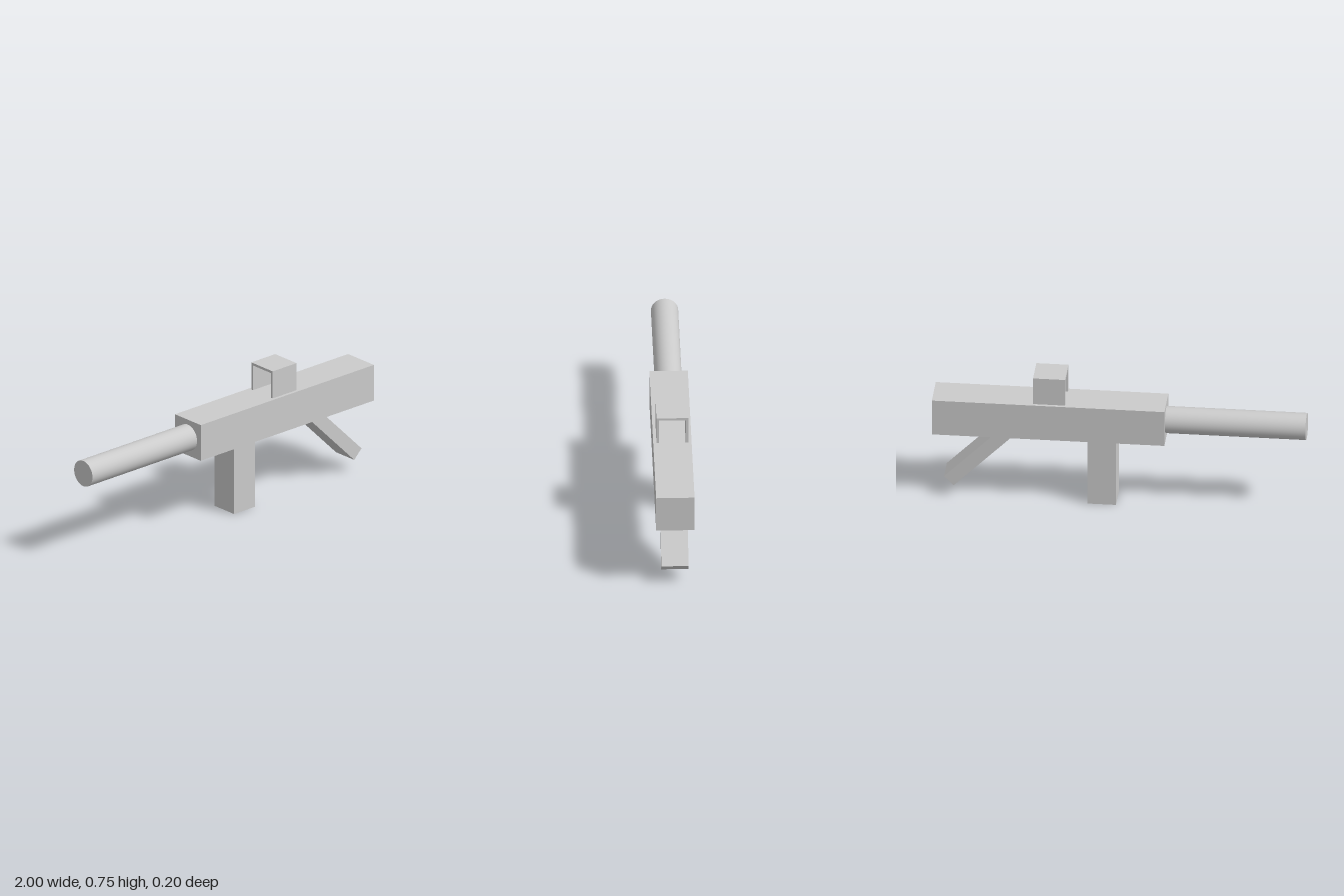
import * as THREE from 'three';

export function createModel() {
  const group = new THREE.Group();
  const material = new THREE.MeshStandardMaterial({ color: 0xcccccc });

  function add(name, geometry, x, y, z, parent = group) {
    const mesh = new THREE.Mesh(geometry, material);
    mesh.name = name;
    mesh.position.set(x, y, z);
    parent.add(mesh);
    return mesh;
  }

  // Main body
  add('body', new THREE.BoxGeometry(1.247, 0.206, 0.205), 0.3765, 0.491, 0);

  // Barrel along -x, ending at the front face of the body
  const barrel = add('barrel', new THREE.CylinderGeometry(0.073, 0.073, 0.77, 32), -0.615, 0.493, 0);
  barrel.rotation.z = Math.PI / 2;

  // Straight magazine under the body
  add('magazine', new THREE.BoxGeometry(0.152, 0.4, 0.156), 0.091, 0.2, 0);

  // Slanted grip, its upper end sunk into the body
  const length = 0.5, tilt = Math.PI / 4;
  const grip = add('grip', new THREE.BoxGeometry(0.074, length, 0.145),
    0.912 - Math.sin(tilt) * length / 2, 0.094 + Math.cos(tilt) * length / 2, 0);
  grip.rotation.z = tilt;

  // Sight: one arch-shaped section, open along x
  const arch = new THREE.Shape([
    [-0.085, 0], [-0.071, 0], [-0.071, 0.142], [0.071, 0.142],
    [0.071, 0], [0.085, 0], [0.085, 0.156], [-0.085, 0.156],
  ].map(([x, y]) => new THREE.Vector2(x, y)));
  const sightGeometry = new THREE.ExtrudeGeometry(arch, { depth: 0.172, bevelEnabled: false });
  const sight = add('sight', sightGeometry, 0.287, 0.594, 0);
  sight.rotation.y = Math.PI / 2;

  return group;
}
